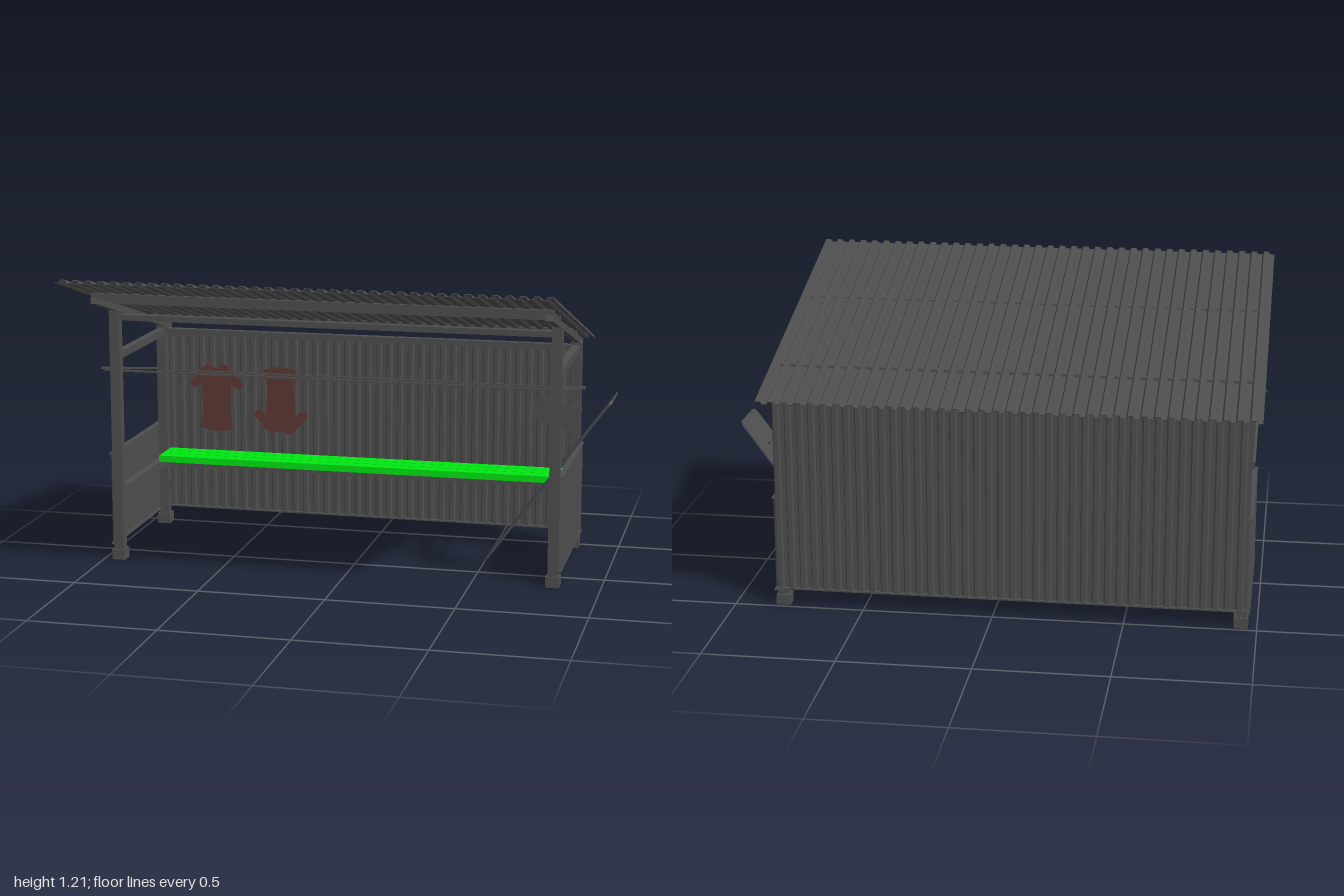
import * as THREE from 'three';

const mat = (name, color) => Object.assign(new THREE.MeshStandardMaterial({ color }), { name });

export function createModel() {
  const root = new THREE.Group();
  root.name = 'shelter';
  const metal = mat('grey metal', 0x4e4e4e);
  const green = mat('bright green', 0x00fa14);
  const blue = mat('navy blue', 0x3b476c);
  const red = mat('dull red', 0x5c3735);
  const dark = mat('dark grey', 0x303030);
  const V = (x, y, z) => new THREE.Vector3(x, y, z);

  const add = (name, geo, m, x = 0, y = 0, z = 0, parent = root) => {
    const mesh = new THREE.Mesh(geo, m);
    mesh.name = name;
    mesh.position.set(x, y, z);
    parent.add(mesh);
    return mesh;
  };
  // box given by its two opposite corners
  const block = (name, x0, x1, y0, y1, z0, z1, m = metal) =>
    add(name, new THREE.BoxGeometry(x1 - x0, y1 - y0, z1 - z0), m, (x0 + x1) / 2, (y0 + y1) / 2, (z0 + z1) / 2);
  // bar of w x h running between two points
  const bar = (name, a, b, w, h, m = metal) => {
    const mesh = add(name, new THREE.BoxGeometry(w, h, a.distanceTo(b)), m);
    mesh.position.copy(a).lerp(b, 0.5);
    mesh.lookAt(b);
    return mesh;
  };
  // sets local axes and origin of a mesh
  const orient = (mesh, X, Y, Z, p) => {
    mesh.quaternion.setFromRotationMatrix(new THREE.Matrix4().makeBasis(X, Y, Z));
    mesh.position.copy(p);
    return mesh;
  };
  // trapezoid sheet: width on x, ridges on +y, length on z
  const corrugated = (width, length, ridges, height) => {
    const p = width / ridges, top = [], t = 0.003;
    for (let i = 0; i < ridges; i++) {
      const x = -width / 2 + i * p;
      top.push([x, 0], [x + p * 0.35, 0], [x + p * 0.48, height], [x + p * 0.87, height]);
    }
    top.push([width / 2, 0]);
    const pts = [...top.map(([x, y]) => [x, y - t]), ...top.reverse()];
    const shape = new THREE.Shape(pts.map(([x, y]) => new THREE.Vector2(x, y)));
    return new THREE.ExtrudeGeometry(shape, { depth: length, bevelEnabled: false }).translate(0, 0, -length / 2);
  };

  // roof
  const slope = Math.atan2(0.35, 1.25);
  const roof = add('roof', corrugated(1.87, 1.295, 38, 0.011), metal, -0.065, 1.02, 0);
  roof.rotation.x = -slope;

  // side frames
  for (const [side, x] of [[-1, -0.94], [1, 0.815]]) {
    block('frontPost', x - 0.02, x + 0.02, 0.03, 1.015, 0.105, 0.145);
    block('rearPost', x - 0.02, x + 0.02, 0.03, 0.855, -0.48, -0.44);
    for (const z of [0.125, -0.46]) block('foot', x - 0.027, x + 0.027, 0, 0.042, z - 0.027, z + 0.027);
    bar('rafter', V(x, 1.088, 0.365), V(x, 0.84, -0.552), 0.026, 0.026);
    block('sideBeam', x - 0.015, x + 0.015, 0.815, 0.845, -0.49, 0.11);
    block('sideRail', x - 0.015, x + 0.015, 0.25, 0.29, -0.45, 0.11);

    // side wall with edge trims
    const wx = x + side * 0.022;
    orient(add('sideWall', corrugated(0.63, 0.37, 14, 0.01), metal),
      V(0, 0, side), V(side, 0, 0), V(0, 1, 0), V(wx, 0.248, -0.17));
    for (const y of [0.063, 0.434]) block('wallTrim', wx - 0.011, wx + 0.011, y - 0.003, y + 0.003, -0.492, 0.143);

    // canopy rod and bench brace
    bar('canopyRod', V(x + side * 0.03, 0.796, 0.21), V(x + side * 0.03, 0.66, -0.51), 0.009, 0.009);
    for (const z of [-0.34, -0.44])
      bar('benchBrace', V(x - side * 0.055, 0.295, z), V(x - side * 0.02, 0.14, z), 0.006, 0.006);
  }

  // cross members
  for (const [y, z] of [[1.103, 0.345], [1.058, 0.17], [0.917, -0.35]])
    block('purlin', -0.955, 0.83, y - 0.011, y + 0.011, z - 0.011, z + 0.011);
  block('frontBeam', -0.92, 0.8, 0.975, 0.998, 0.11, 0.14);
  block('rearBeam', -0.92, 0.8, 0.82, 0.845, -0.475, -0.445);
  block('benchRail', -0.92, 0.8, 0.25, 0.29, -0.475, -0.45);
  block('frontCrossRod', -1, 0.875, 0.761, 0.769, 0.09, 0.098);
  block('rearCrossRod', -0.97, 0.85, 0.659, 0.667, -0.47, -0.462);

  // back wall
  orient(add('backWall', corrugated(1.8, 0.765, 40, 0.01), metal),
    V(1, 0, 0), V(0, 0, -1), V(0, 1, 0), V(-0.0625, 0.453, -0.481));
  block('backWallTrim', -0.962, 0.838, 0.068, 0.074, -0.496, -0.47);

  // bench slats
  for (let i = 0; i < 3; i++) {
    const z = -0.468 + i * 0.054;
    block('benchSlat', -0.915, 0.79, 0.299, 0.326, z, z + 0.05, green);
  }

  // painted shirt shapes on the back wall, the second one upside down
  const half = [[0.035, 0.145], [0.065, 0.125], [0.12, 0.06], [0.095, 0.04], [0.065, 0.062],
    [0.058, -0.06], [0.072, -0.13], [0.03, -0.142]];
  const shirt = new THREE.Shape([[0, 0.125], ...half, ...half.map(([x, y]) => [-x, y]).reverse()]
    .map(([x, y]) => new THREE.Vector2(x, y)));
  [[-0.71, 0.55, 0], [-0.43, 0.55, Math.PI]].forEach(([x, y, turn]) => {
    add('paintedShirt', new THREE.ExtrudeGeometry(shirt, { depth: 0.002, bevelEnabled: false }), red, x, y, -0.477)
      .rotation.z = turn;
  });

  // leaning board with rounded corners
  const board = new THREE.Group();
  board.name = 'leaningBoard';
  root.add(board);
  const L = V(0.5, 0.685, 0).normalize(), N = V(L.y, -L.x, 0);
  orient(board, V(0, 0, -1), L, N, V(0.75, 0.343, -0.237));
  const w = 0.1025, h = 0.422, r = 0.028, s = new THREE.Shape();
  s.absarc(w - r, h - r, r, 0, Math.PI / 2);
  s.absarc(-w + r, h - r, r, Math.PI / 2, Math.PI);
  s.absarc(-w + r, -h + r, r, Math.PI, Math.PI * 1.5);
  s.absarc(w - r, -h + r, r, Math.PI * 1.5, Math.PI * 2);
  const plate = () => new THREE.ExtrudeGeometry(s, { depth: 0.003, bevelEnabled: false, curveSegments: 6 });
  add('boardFace', plate(), blue, 0, 0, 0, board);
  add('boardBack', plate(), metal, 0, 0, -0.003, board);
  // small dark marks on the board
  for (const [x, y, mw] of [[0, 0.355, 0.02], [-0.022, 0.315, 0.012], [0.022, 0.315, 0.012],
    [0, 0.265, 0.025], [-0.02, 0.2, 0.014], [0.022, 0.2, 0.014]])
    add('boardMark', new THREE.BoxGeometry(mw, 0.01, 0.003), dark, x, y, 0.004, board);
  add('boardMark', new THREE.CircleGeometry(0.032, 16, 0, Math.PI), dark, 0, 0.118, 0.0045, board);

  // tilted sign hanging from the canopy rod
  const sign = add('hangingSign', new THREE.BoxGeometry(0.168, 0.095, 0.005), metal, 0.83, 0.697, 0.203);
  sign.rotation.z = -0.28;
  const hook = V(0.848, 0.8, 0.203);
  bar('signWire', hook, V(0.785, 0.755, 0.203), 0.003, 0.003);
  bar('signWire', hook, V(0.905, 0.722, 0.203), 0.003, 0.003);

  return root;
}
